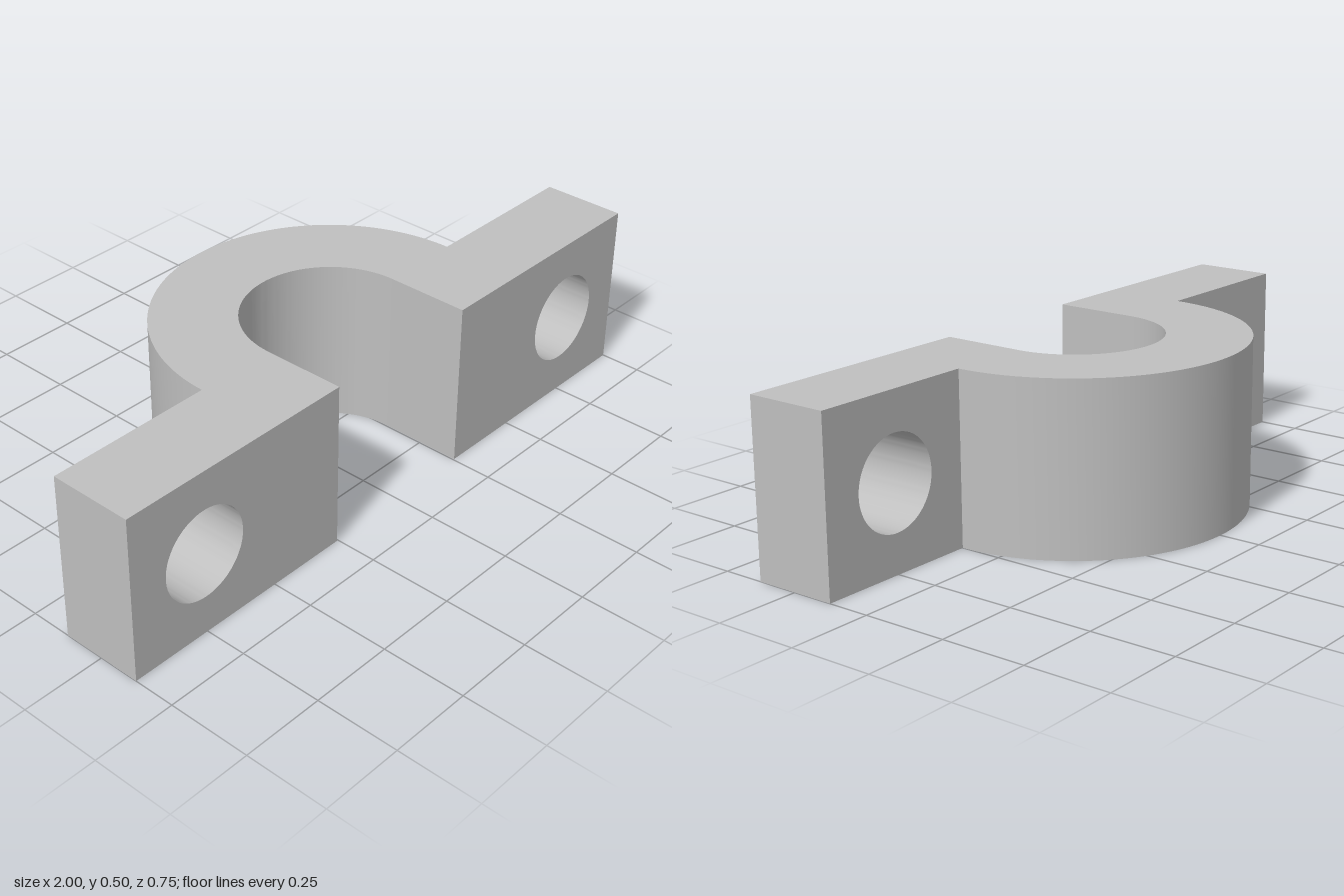
import * as THREE from 'three';
import { toCreasedNormals } from 'three/addons/utils/BufferGeometryUtils.js';

const HEIGHT = 0.5;
const INNER = 0.254, OUTER = 0.5; // saddle radii
const SEAT = 0.125, FRONT = 0.375; // back and front z of the flanges

function extrude(shape, depth) {
  return new THREE.ExtrudeGeometry(shape, { depth, bevelEnabled: false, curveSegments: 48 });
}

export function createModel() {
  const model = new THREE.Group();
  model.name = 'saddleClamp';
  const metal = new THREE.MeshStandardMaterial({ color: 0xbfbfbf });
  metal.name = 'grey metal';

  const add = (name, geometry) => {
    const mesh = new THREE.Mesh(toCreasedNormals(geometry, 0.5), metal);
    mesh.name = name;
    model.add(mesh);
  };

  // Half-ring saddle, drawn in plan and raised along y
  const ring = new THREE.Shape();
  ring.absarc(0, -SEAT, OUTER, 0, Math.PI, false);
  ring.absarc(0, -SEAT, INNER, Math.PI, 0, true);
  ring.closePath();
  add('saddle', extrude(ring, HEIGHT).rotateX(-Math.PI / 2));

  // Flanges with a round bolt hole through each
  for (const [name, x0, x1, hx] of [
    ['leftFlange', INNER, 1, 0.75],
    ['rightFlange', -1, -INNER, -0.75],
  ]) {
    const plate = new THREE.Shape([
      new THREE.Vector2(x0, 0), new THREE.Vector2(x1, 0),
      new THREE.Vector2(x1, HEIGHT), new THREE.Vector2(x0, HEIGHT),
    ]);
    plate.holes.push(new THREE.Path().absarc(hx, HEIGHT / 2, 0.135, 0, Math.PI * 2, true));
    add(name, extrude(plate, FRONT - SEAT).translate(0, 0, SEAT));
  }
  return model;
}
